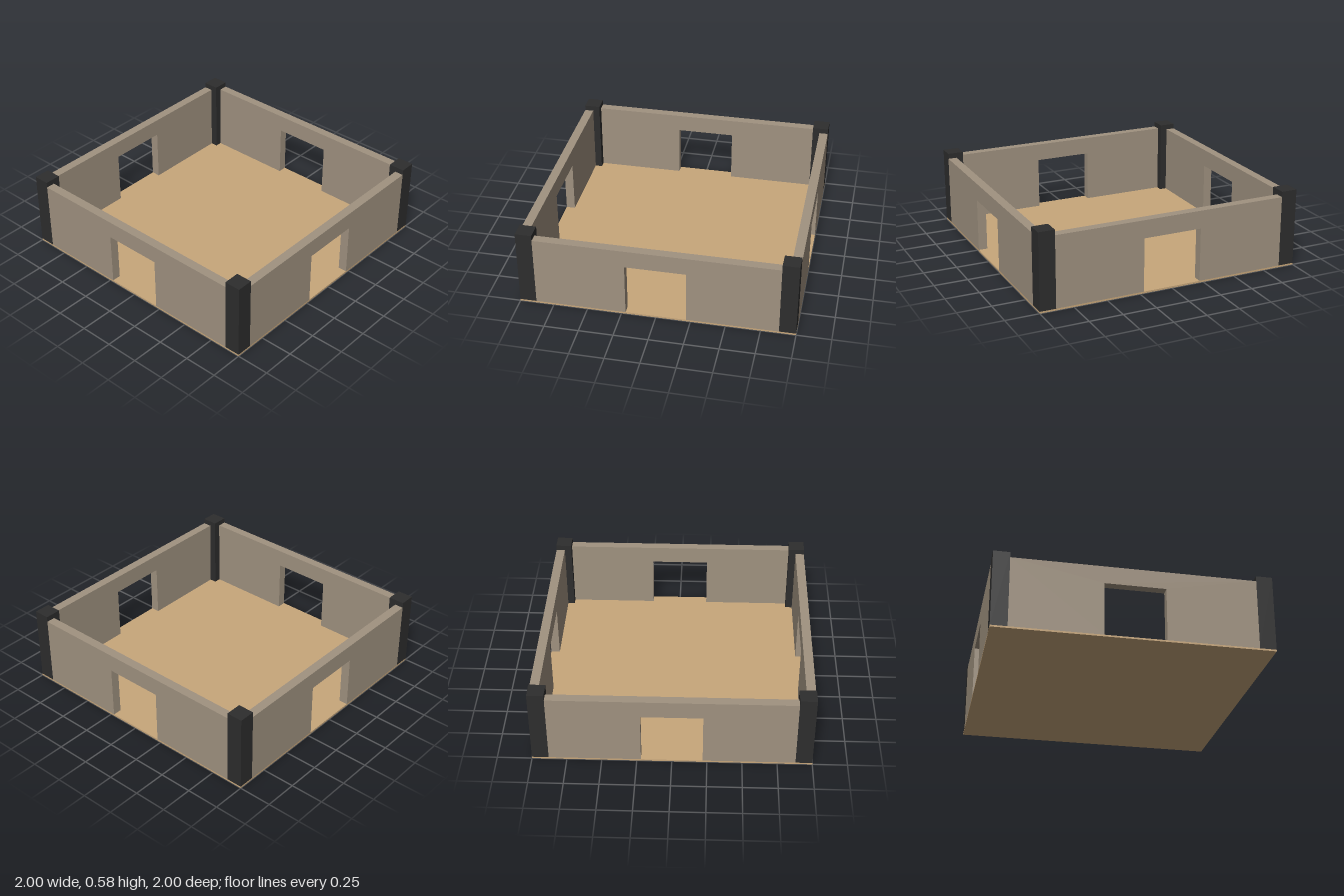
import * as THREE from 'three';

const FLOOR_H = 0.013;   // slab thickness
const WALL_T = 0.067;    // wall thickness
const WALL_TOP = 0.543;
const POST_W = 0.12;     // corner post width
const POST_TOP = 0.583;
const DOOR_HALF = 0.22;
const DOOR_TOP = 0.41;

const material = (color) => new THREE.MeshStandardMaterial({ color });

// Wall panel with a doorway notch, its outer face on z = 1
function wallGeometry() {
  const half = 1 - POST_W;
  const shape = new THREE.Shape([
    [-half, FLOOR_H], [-DOOR_HALF, FLOOR_H], [-DOOR_HALF, DOOR_TOP], [DOOR_HALF, DOOR_TOP],
    [DOOR_HALF, FLOOR_H], [half, FLOOR_H], [half, WALL_TOP], [-half, WALL_TOP],
  ].map(([x, y]) => new THREE.Vector2(x, y)));
  const geometry = new THREE.ExtrudeGeometry(shape, { depth: WALL_T, bevelEnabled: false });
  return geometry.translate(0, 0, 1 - WALL_T);
}

export function createModel() {
  const model = new THREE.Group();
  model.name = 'walledRoom';

  // Floor slab
  const floor = new THREE.Mesh(new THREE.BoxGeometry(2, FLOOR_H, 2), material(0xc8a77b));
  floor.name = 'floor';
  floor.position.y = FLOOR_H / 2;
  model.add(floor);

  // Four walls, one per side
  const wallGeo = wallGeometry();
  const wallMat = material(0xa09280);
  ['frontWall', 'leftWall', 'backWall', 'rightWall'].forEach((name, i) => {
    const wall = new THREE.Mesh(wallGeo, wallMat);
    wall.name = name;
    wall.rotation.y = i * Math.PI / 2;
    model.add(wall);
  });

  // Corner posts
  const postH = POST_TOP - FLOOR_H;
  const postGeo = new THREE.BoxGeometry(POST_W, postH, POST_W);
  const postMat = material(0x2d2d2d);
  for (const sx of [-1, 1]) {
    for (const sz of [-1, 1]) {
      const post = new THREE.Mesh(postGeo, postMat);
      post.name = (sz > 0 ? 'front' : 'back') + (sx > 0 ? 'Left' : 'Right') + 'Post';
      post.position.set(sx * (1 - POST_W / 2), FLOOR_H + postH / 2, sz * (1 - POST_W / 2));
      model.add(post);
    }
  }
  return model;
}
